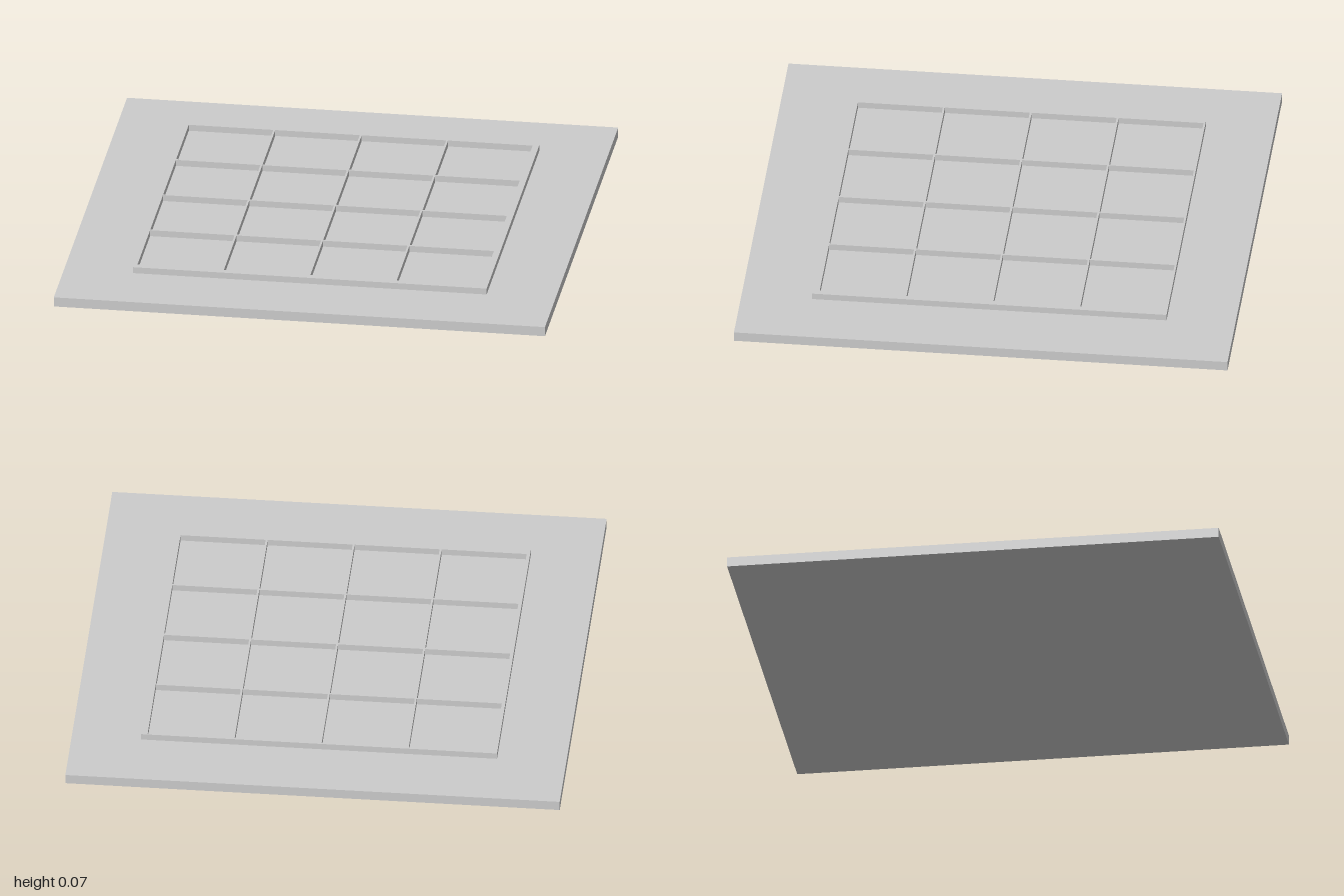
import * as THREE from 'three';

const BASE_H = 0.04, TOP = 0.066;
const CELLS = 4, PITCH = 0.352, CELL = 0.344;
const CELL_X = -0.706, CELL_Z = -0.714; // back left corner of the first cell

// Adds a closed rectangle to a Shape or Path
function rect(path, x0, y0, x1, y1) {
  path.moveTo(x0, y0);
  path.lineTo(x1, y0);
  path.lineTo(x1, y1);
  path.lineTo(x0, y1);
  path.closePath();
  return path;
}

export function createModel() {
  const group = new THREE.Group();
  const material = new THREE.MeshStandardMaterial({ color: 0xcccccc });

  // Flat square base
  const base = new THREE.Mesh(new THREE.BoxGeometry(2, BASE_H, 2), material);
  base.name = 'basePlate';
  base.position.y = BASE_H / 2;
  group.add(base);

  // Raised border and thin dividers, cut by a 4 x 4 set of square cells
  const outline = rect(new THREE.Shape(), -0.72, -0.715, 0.72, 0.722);
  for (let row = 0; row < CELLS; row++) {
    for (let col = 0; col < CELLS; col++) {
      const x = CELL_X + col * PITCH;
      const y = -(CELL_Z + row * PITCH); // shape y becomes -z
      outline.holes.push(rect(new THREE.Path(), x, y - CELL, x + CELL, y));
    }
  }
  const gridGeometry = new THREE.ExtrudeGeometry(outline, { depth: TOP - BASE_H, bevelEnabled: false });
  gridGeometry.rotateX(-Math.PI / 2);
  const grid = new THREE.Mesh(gridGeometry, material);
  grid.name = 'dividerGrid';
  grid.position.y = BASE_H;
  group.add(grid);

  return group;
}
